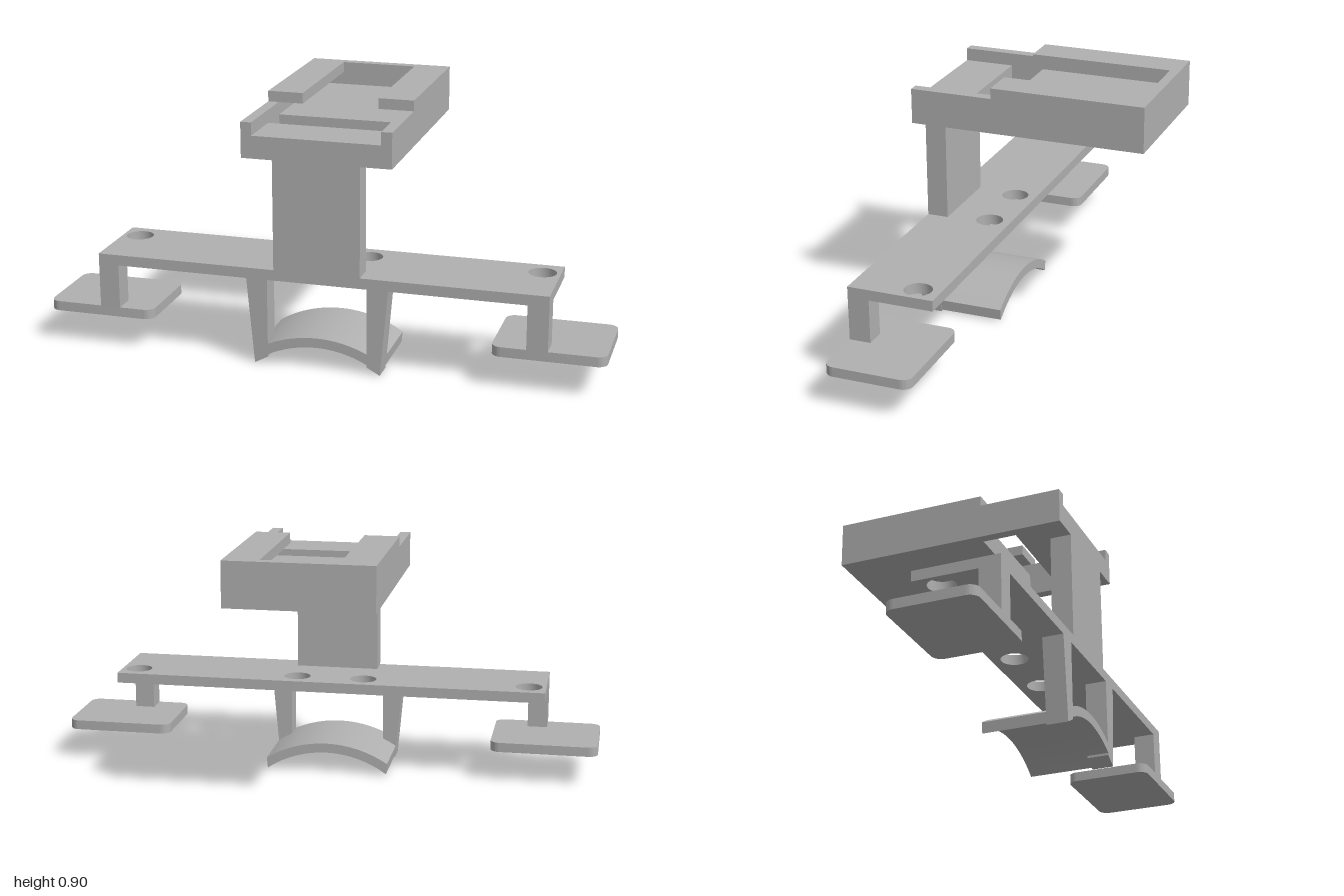
import * as THREE from 'three';
import { toCreasedNormals } from 'three/addons/utils/BufferGeometryUtils.js';

const grey = new THREE.MeshStandardMaterial({ color: 0xb0b0b0 });
grey.name = 'grey plastic';

// Shared depth limits of the bracket
const BACK = 0.115, FRONT = 0.425, POST_BACK = 0.348;

export function createModel() {
  const model = new THREE.Group();
  model.name = 'mountBracket';

  const add = (name, geometry) => {
    const mesh = new THREE.Mesh(geometry, grey);
    mesh.name = name;
    model.add(mesh);
    return mesh;
  };
  const box = (name, x0, x1, y0, y1, z0, z1) =>
    add(name, new THREE.BoxGeometry(x1 - x0, y1 - y0, z1 - z0)
      .translate((x0 + x1) / 2, (y0 + y1) / 2, (z0 + z1) / 2));

  // Closed outline of points; horizontal plates use (x, -z)
  const outline = (pts) => new THREE.Shape(pts.map(([x, y]) => new THREE.Vector2(x, y)));
  const rect = (x0, x1, z0, z1) => outline([[x0, -z1], [x1, -z1], [x1, -z0], [x0, -z0]]);
  const extrude = (shape, depth) => toCreasedNormals(
    new THREE.ExtrudeGeometry(shape, { depth, bevelEnabled: false, curveSegments: 12 }), 0.6);
  const plate = (name, shape, y0, y1) =>
    add(name, extrude(shape, y1 - y0).rotateX(-Math.PI / 2).translate(0, y0, 0));
  const upright = (name, shape, z0, z1) =>
    add(name, extrude(shape, z1 - z0).translate(0, 0, z0));

  // Cross bar with four screw holes
  const bar = rect(-0.803, 0.803, BACK, FRONT);
  for (const x of [-0.74, -0.125, 0.125, 0.74]) {
    const hole = new THREE.Path();
    hole.absarc(x, -0.195, 0.049, 0, Math.PI * 2, true);
    bar.holes.push(hole);
  }
  plate('crossBar', bar, 0.312, 0.35);

  // Upright stem
  box('stem', -0.154, 0.154, 0.35, 0.742, POST_BACK, FRONT);

  // Tray floor with a slot through it
  const floor = rect(-0.264, 0.264, -0.425, FRONT);
  floor.holes.push(rect(-0.226, 0.226, 0.122, 0.245));
  plate('trayFloor', floor, 0.742, 0.822);

  // Tray walls: low rails in front, taller walls at the back
  const frame = outline([
    [-0.264, -FRONT], [-0.226, -FRONT], [-0.226, 0.39], [0.226, 0.39],
    [0.226, -FRONT], [0.264, -FRONT], [0.264, 0.425], [-0.264, 0.425],
  ]);
  plate('trayWalls', frame, 0.822, 0.868);

  // Overhanging lips
  const lip = outline([
    [-0.264, -0.127], [-0.137, -0.127], [-0.137, 0.39], [0.137, 0.39],
    [0.137, -0.127], [0.264, -0.127], [0.264, 0.425], [-0.264, 0.425],
  ]);
  plate('trayLip', lip, 0.868, 0.906);

  for (const [side, s] of [['left', 1], ['right', -1]]) {
    // Outer leg
    box(side + 'OuterLeg', Math.min(s * 0.73, s * 0.803), Math.max(s * 0.73, s * 0.803),
      0.15, 0.315, POST_BACK, FRONT);

    // Rounded foot pad
    const r = 0.035, x0 = 0.608, x1 = 1, pad = new THREE.Shape();
    pad.absarc(x1 - r, -BACK - r, r, 0, Math.PI / 2);
    pad.absarc(x0 + r, -BACK - r, r, Math.PI / 2, Math.PI);
    pad.absarc(x0 + r, -FRONT + r, r, Math.PI, Math.PI * 1.5);
    pad.absarc(x1 - r, -FRONT + r, r, Math.PI * 1.5, Math.PI * 2);
    plate(side + 'FootPad', pad, 0.119, 0.154).position.x = s < 0 ? -(x0 + x1) : 0;

    // Tapered inner leg
    upright(side + 'InnerLeg', outline([
      [s * 0.178, 0.32], [s * 0.254, 0.32], [s * 0.226, 0.002], [s * 0.178, 0.028],
    ]), POST_BACK, FRONT);
  }

  // Curved saddle between the inner legs
  const saddlePoints = [], steps = 16, half = 0.617;
  const arc = (radius, from, to) => {
    for (let i = 0; i <= steps; i++) {
      const a = from + (to - from) * i / steps;
      saddlePoints.push([radius * Math.sin(a), -0.308 + radius * Math.cos(a)]);
    }
  };
  arc(0.388, -half, half);
  arc(0.423, 0.57, -0.57);
  upright('saddle', outline(saddlePoints), BACK, FRONT);

  return model;
}
